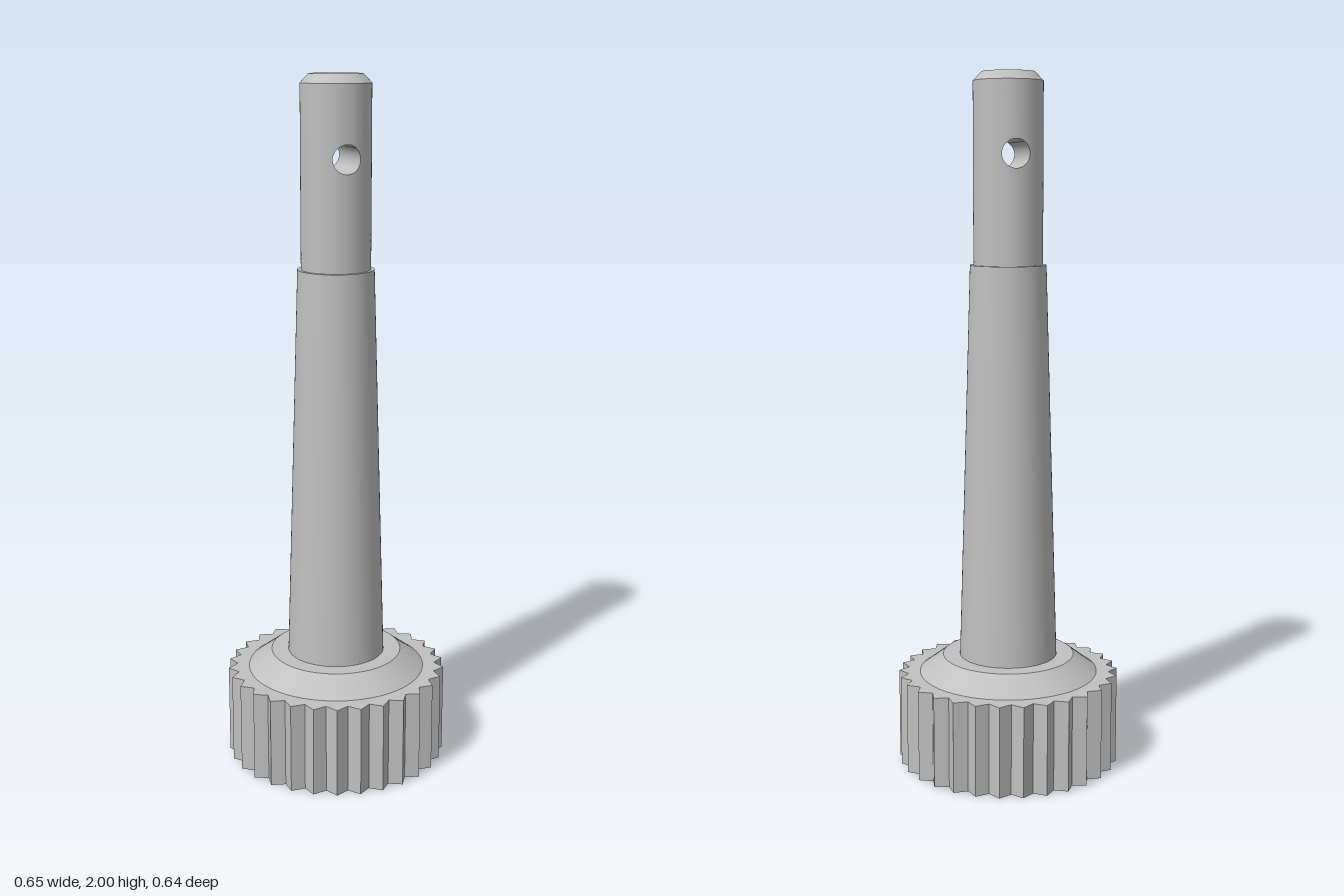
import * as THREE from 'three';

const SEG = 64;
const PIN_R = 0.099, PIN_BOTTOM = 1.465, PIN_TOP = 1.975;
const HOLE_R = 0.04, HOLE_Y = 1.775;

// Points counter-clockwise round a unit square, evenly spaced along each side
function squareLoop(perSide) {
  const pts = [];
  for (let side = 0; side < 4; side++) {
    for (let k = 0; k < perSide; k++) {
      const p = new THREE.Vector2(1, -1 + (2 * k) / perSide);
      for (let q = 0; q < side; q++) p.set(-p.y, p.x);
      pts.push(p);
    }
  }
  return pts;
}

function makeGeometry(positions, normals, index) {
  const g = new THREE.BufferGeometry();
  g.setAttribute('position', new THREE.Float32BufferAttribute(positions, 3));
  g.setAttribute('normal', new THREE.Float32BufferAttribute(normals, 3));
  g.setIndex(index);
  return g;
}

// Half of the pin wall: rings growing from the round hole to the wall's border
function halfPinWall(loop) {
  const rings = 16, n = loop.length, pos = [], nor = [], idx = [];
  for (let i = 0; i <= rings; i++) {
    const f = i / rings;
    for (let j = 0; j < n; j++) {
      const s = loop[j], t = Math.atan2(s.y, s.x);
      const holeAngle = Math.asin((HOLE_R * Math.cos(t)) / PIN_R);
      const a = THREE.MathUtils.lerp(holeAngle, (s.x * Math.PI) / 2, f);
      const reach = s.y > 0 ? PIN_TOP - HOLE_Y : HOLE_Y - PIN_BOTTOM;
      const y = HOLE_Y + THREE.MathUtils.lerp(HOLE_R * Math.sin(t), s.y * reach, f);
      pos.push(PIN_R * Math.sin(a), y, PIN_R * Math.cos(a));
      nor.push(Math.sin(a), 0, Math.cos(a));
      if (i < rings) {
        const k = (j + 1) % n;
        const p = i * n + j, q = p + n, r = (i + 1) * n + k, u = i * n + k;
        idx.push(p, q, r, p, r, u);
      }
    }
  }
  return makeGeometry(pos, nor, idx);
}

// Inside wall of the cross hole, following the pin's curve at both ends
function boreWall(loop) {
  const n = loop.length, pos = [], nor = [], idx = [];
  loop.forEach((s, j) => {
    const t = Math.atan2(s.y, s.x), c = Math.cos(t), d = Math.sin(t);
    const x = HOLE_R * c, y = HOLE_Y + HOLE_R * d, z = Math.sqrt(PIN_R ** 2 - x * x);
    pos.push(x, y, z, x, y, -z);
    nor.push(-c, -d, 0, -c, -d, 0);
    const a = 2 * j, b = 2 * ((j + 1) % n);
    idx.push(a, b, b + 1, a, b + 1, a + 1);
  });
  return makeGeometry(pos, nor, idx);
}

export function createModel() {
  const group = new THREE.Group();
  const steel = new THREE.MeshStandardMaterial({ color: 0xc0c0c0 });
  steel.name = 'grey steel';

  const add = (name, geometry) => {
    const mesh = new THREE.Mesh(geometry, steel);
    mesh.name = name;
    group.add(mesh);
    return mesh;
  };
  // One turned surface from (r0, y0) to (r1, y1), so edges between parts stay sharp
  const turned = (name, r0, y0, r1, y1) =>
    add(name, new THREE.LatheGeometry([new THREE.Vector2(r0, y0), new THREE.Vector2(r1, y1)], SEG));

  // Knurled knob with 30 pointed teeth
  const outline = [];
  for (let i = 0; i < 60; i++) {
    const r = i % 2 ? 0.297 : 0.324, a = (i * Math.PI) / 30;
    outline.push(new THREE.Vector2(r * Math.cos(a), r * Math.sin(a)));
  }
  const knob = new THREE.ExtrudeGeometry(new THREE.Shape(outline), { depth: 0.265, bevelEnabled: false });
  knob.rotateX(-Math.PI / 2);
  add('knurledKnob', knob);

  // Sloped collar on the knob
  turned('collarSlope', 0.262, 0.265, 0.193, 0.317);
  turned('collarTop', 0.193, 0.317, 0.14, 0.317);

  // Tapered shaft with a small shoulder
  turned('taperedShaft', 0.143, 0.317, 0.109, PIN_BOTTOM);
  turned('shaftShoulder', 0.109, PIN_BOTTOM, PIN_R, PIN_BOTTOM);

  // Pin with a cross hole from front to back
  const loop = squareLoop(SEG / 2);
  add('pinFront', halfPinWall(loop));
  add('pinBack', halfPinWall(loop).rotateY(Math.PI));
  add('crossHole', boreWall(loop));

  // Chamfered tip
  turned('tipChamfer', PIN_R, PIN_TOP, 0.075, 2);
  turned('tipFace', 0.075, 2, 0, 2);

  return group;
}
